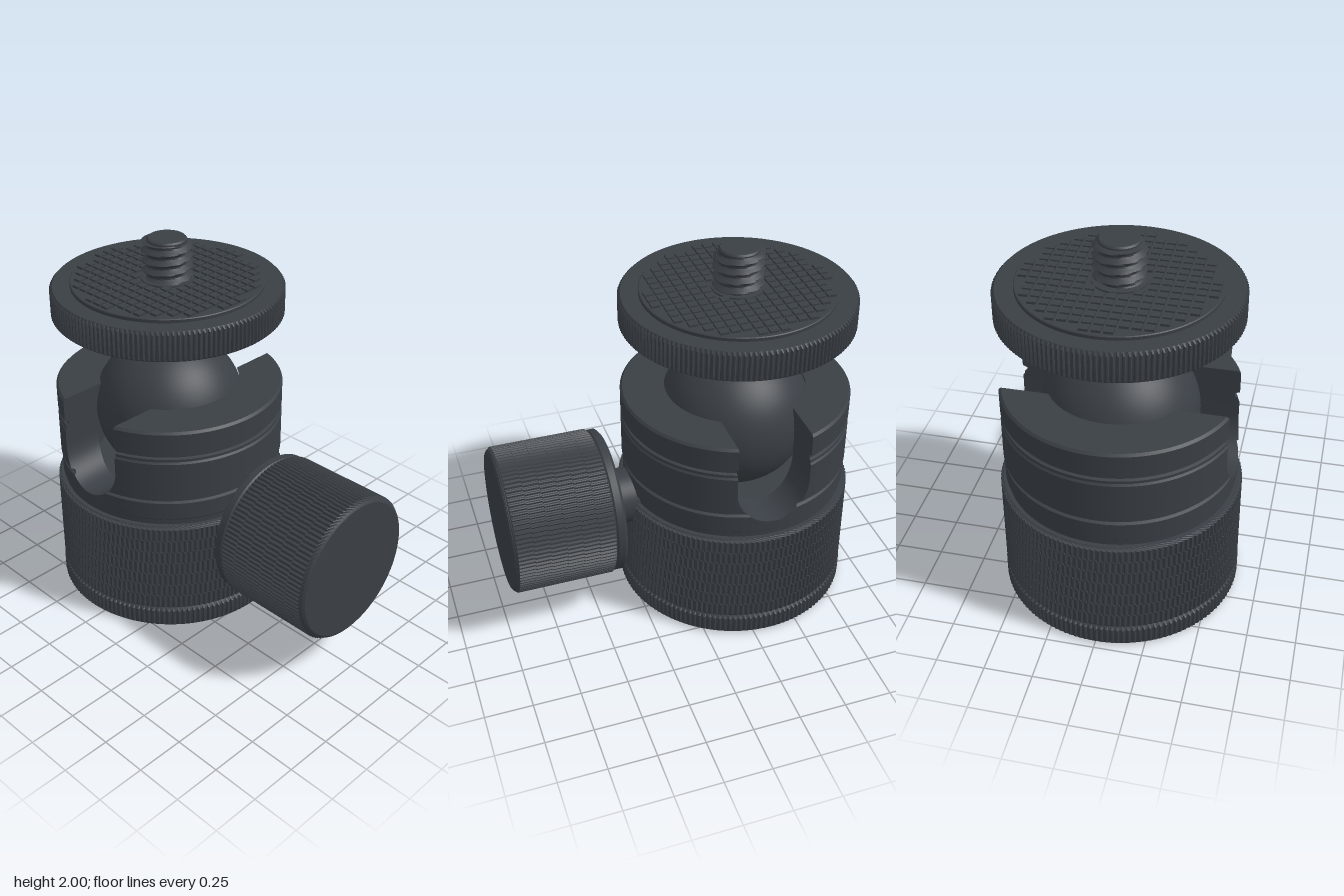
import * as THREE from 'three';
import { mergeGeometries, toCreasedNormals } from 'three/addons/utils/BufferGeometryUtils.js';

const TAU = Math.PI * 2;

// Lathe whose vertices are moved by rule(r, y, phi, column, row) -> [r, phi]
function revolve(profile, segments, rule, crease = 0.5) {
  const geo = new THREE.LatheGeometry(profile.map(([r, y]) => new THREE.Vector2(r, y)), segments);
  if (rule) {
    const pos = geo.attributes.position, rows = profile.length;
    for (let i = 0; i < pos.count; i++) {
      const row = i % rows, col = Math.floor(i / rows);
      const [r0, y] = profile[row];
      const [r, phi] = rule(r0, y, (col / segments) * TAU, col, row);
      pos.setXYZ(i, r * Math.sin(phi), y, r * Math.cos(phi));
    }
  }
  return toCreasedNormals(geo, crease);
}

// Straight teeth on every point at or beyond minR; bands may be shifted sideways
const knurl = (minR, depth, shift = () => 0) => (r, y, phi, col, row) =>
  r < minR ? [r, phi] : [col % 4 < 2 ? r : r - depth, phi + shift(row)];

// Helical thread added to the points whose height passes the test
const thread = (pitch, height, on) => (r, y, phi) => {
  if (!on(y)) return [r, phi];
  const t = y / pitch - phi / TAU, f = t - Math.floor(t);
  return [r + height * Math.max(0, 1 - 1.25 * Math.abs(2 * f - 1)), phi];
};

// Stacked tooth bands from y0 to y1, two rows per band
function bands(r, y0, y1, count) {
  const rows = [];
  for (let i = 0; i < count; i++) {
    rows.push([r, y0 + ((y1 - y0) * i) / count], [r, y0 + ((y1 - y0) * (i + 1)) / count]);
  }
  return rows;
}

// Socket wall in two mirrored halves, leaving a round-bottomed slot on each side
function slottedWall() {
  const slotR = 0.195, slotY = 0.935, bottom = slotY - slotR, cols = 64;
  const outer = [[0.6, 0.74], [0.6, 0.785], [0.585, 0.792], [0.585, 0.805], [0.605, 0.815], [0.605, 1.025],
    [0.597, 1.035], [0.597, 1.05], [0.582, 1.055], [0.582, 1.075], [0.605, 1.085], [0.605, 1.198], [0.593, 1.21]];
  const ys = outer.map(p => p[1]);
  for (let i = 1; i <= 16; i++) ys.push(slotY - slotR * Math.cos((i / 16) * Math.PI / 2));
  for (let y = 1.1; y < 1.19; y += 0.03) ys.push(y);
  ys.sort((a, b) => a - b);
  const outerR = y => {
    const k = Math.max(1, outer.findIndex(p => p[1] >= y - 1e-9));
    const [r0, y0] = outer[k - 1], [r1, y1] = outer[k];
    return r0 + ((r1 - r0) * (y - y0)) / (y1 - y0);
  };
  const innerR = y => Math.sqrt(0.405 ** 2 - Math.max(0, y - 1.05) ** 2);
  const halfWidth = y => y >= slotY ? slotR : Math.sqrt(Math.max(0, slotR ** 2 - (slotY - y) ** 2));
  const rows = [...ys.map(y => [outerR(y), y]), ...ys.slice().reverse().map(y => [innerR(y), y])];
  const verts = [], index = [], n = rows.length, stride = cols + 1;
  for (let half = 0; half < 2; half++) {
    const base = verts.length / 3;
    for (const [r, y] of rows) {
      const span = Math.PI / 2 - Math.asin(halfWidth(Math.max(y, bottom)) / r);
      for (let j = 0; j <= cols; j++) {
        const phi = half * Math.PI - span + (2 * span * j) / cols;
        verts.push(r * Math.sin(phi), y, r * Math.cos(phi));
      }
    }
    const at = (i, j) => base + i * stride + j;
    const quad = (a, b, c, d) => index.push(a, b, c, a, c, d);
    for (let i = 0; i < n - 1; i++) {
      for (let j = 0; j < cols; j++) quad(at(i, j), at(i, j + 1), at(i + 1, j + 1), at(i + 1, j));
    }
    // Slot faces join each outer row to the inner row at the same height
    for (let i = 0; i < ys.length - 1; i++) {
      const k = n - 1 - i;
      quad(at(k, 0), at(i, 0), at(i + 1, 0), at(k - 1, 0));
      quad(at(i, cols), at(k, cols), at(k - 1, cols), at(i + 1, cols));
    }
  }
  const geo = new THREE.BufferGeometry();
  geo.setAttribute('position', new THREE.Float32BufferAttribute(verts, 3));
  geo.setIndex(index);
  return toCreasedNormals(geo, 0.5);
}

export function createModel() {
  const black = new THREE.MeshStandardMaterial({ color: 0x3a3f45 });
  black.name = 'anodisedBlack';
  const steel = new THREE.MeshStandardMaterial({ color: 0xb4b6b8 });
  steel.name = 'steel';

  const model = new THREE.Group();
  model.name = 'ballHead';
  const column = new THREE.Group();
  column.name = 'column';
  column.position.z = -0.34;
  model.add(column);
  const add = (parent, name, geo, mat = black) => {
    const mesh = new THREE.Mesh(geo, mat);
    mesh.name = name;
    parent.add(mesh);
    return mesh;
  };

  // Base: toothed foot ring, then a grip of staggered tooth bands
  add(column, 'footRing', revolve([[0.19, 0.03], [0.19, 0], [0.615, 0], [0.63, 0.015], [0.63, 0.1],
    [0.612, 0.112], [0.605, 0.125]], 560, knurl(0.62, 0.01)));
  add(column, 'baseGrip', revolve([[0.605, 0.112], [0.615, 0.12], ...bands(0.628, 0.13, 0.635, 7),
    [0.612, 0.652], [0.59, 0.652]], 560, knurl(0.62, 0.011, row => Math.floor(row / 2) * 0.012)));
  add(column, 'baseCollar', revolve([[0.59, 0.64], [0.59, 0.68], [0.6, 0.69], [0.6, 0.74], [0, 0.74]], 128));

  // Threaded steel socket under the base
  const bore = [[0, 0.28], [0.115, 0.28]];
  for (let i = 0; i <= 40; i++) bore.push([0.115, 0.27 - i * 0.006]);
  bore.push([0.14, 0.012], [0.19, 0.008]);
  add(column, 'mountSocket', revolve(bore, 48, thread(0.05, 0.025, y => y > 0.035 && y < 0.275)), steel);

  // Socket wall, ball and neck
  add(column, 'slottedSocket', slottedWall());
  const ball = add(column, 'ball', new THREE.SphereGeometry(0.4, 64, 40));
  ball.position.y = 1.05;
  add(column, 'neck', revolve([[0.19, 1.38], [0.19, 1.61]], 64));

  // Toothed top plate with raised pad
  add(column, 'topPlate', revolve([[0, 1.6], [0.592, 1.6], [0.605, 1.612], [0.605, 1.745], [0.59, 1.76],
    [0.49, 1.76]], 600, knurl(0.6, 0.01)));
  add(column, 'pad', revolve([[0.5, 1.755], [0.5, 1.776], [0.496, 1.78], [0, 1.78]], 96));
  const cells = [], pitch = 0.057;
  for (let i = -8; i <= 8; i++) {
    for (let j = -8; j <= 8; j++) {
      const d = Math.hypot(i, j);
      if (d > 8.25 || d < 2.7 || (d > 8.1 && i * j !== 0)) continue;
      cells.push(new THREE.BoxGeometry(0.044, 0.02, 0.044).translate(i * pitch, 1.782, j * pitch));
    }
  }
  add(column, 'padGrid', mergeGeometries(cells));
  add(column, 'screwCollar', revolve([[0.138, 1.775], [0.138, 1.788], [0.128, 1.79], [0.1, 1.79]], 64));

  // Camera screw
  const screw = [];
  for (let i = 0; i <= 44; i++) screw.push([0.103, 1.77 + i * 0.005]);
  screw.push([0.103, 1.992], [0.095, 2], [0, 2]);
  add(column, 'mountScrew', revolve(screw, 48, thread(0.052, 0.029, y => y < 1.984)));

  // Locking knob and shaft, turned to face forward
  const knob = new THREE.Group();
  knob.name = 'lockingKnob';
  knob.position.y = 0.613;
  knob.rotation.x = Math.PI / 2;
  model.add(knob);
  add(knob, 'shaft', revolve([[0.15, 0.2], [0.15, 0.39]], 48));
  add(knob, 'knobCollar', revolve([[0, 0.37], [0.365, 0.37], [0.383, 0.385], [0.383, 0.42], [0.375, 0.428],
    [0.37, 0.44]], 96));
  add(knob, 'knobGrip', revolve([[0.365, 0.425], [0.378, 0.43], ...bands(0.391, 0.437, 0.945, 6), [0.378, 0.962],
    [0.365, 0.97], [0, 0.97]], 400, knurl(0.385, 0.01, row => Math.floor(row / 2) * 0.014)));

  return model;
}
